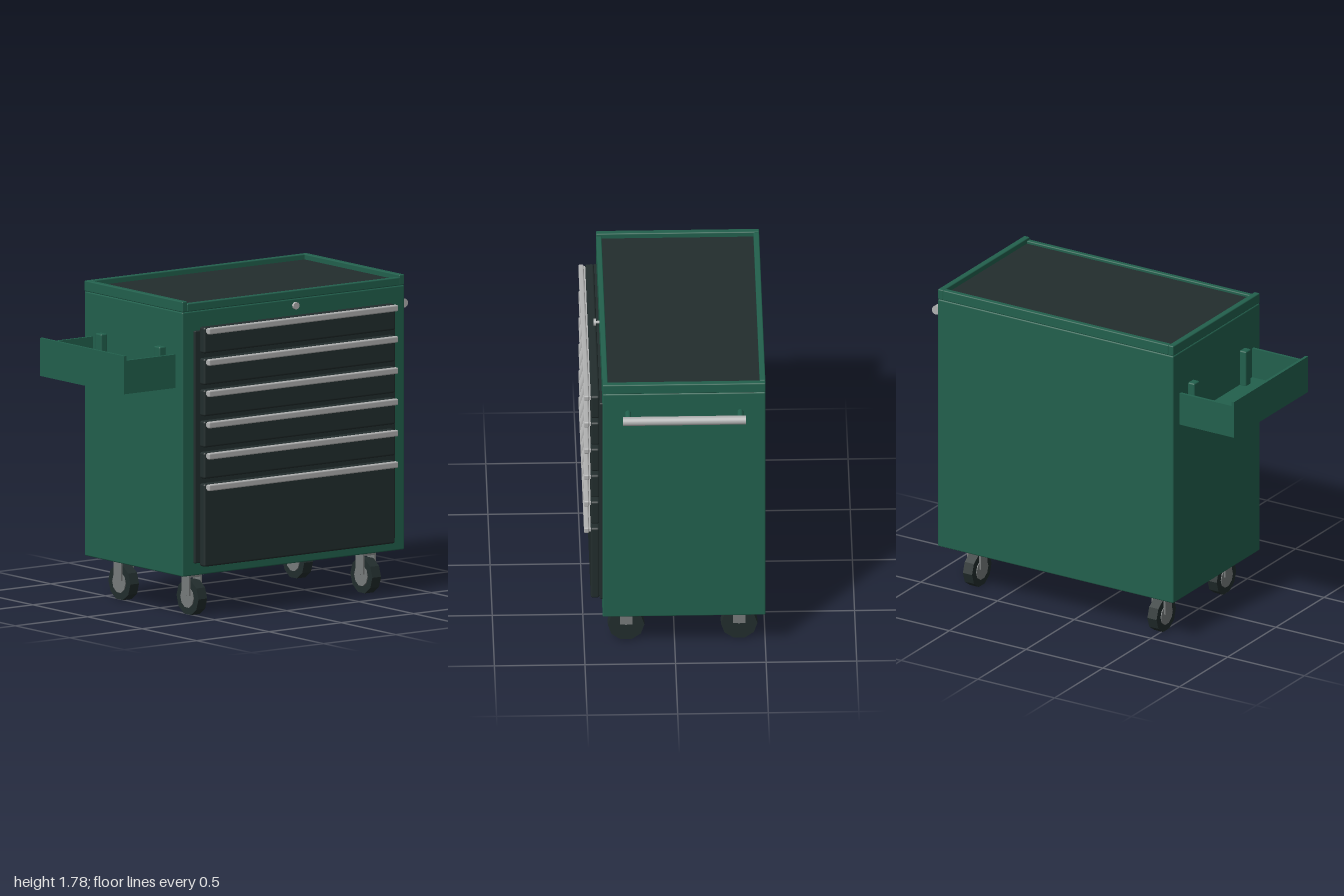
import * as THREE from 'three';
import { RoundedBoxGeometry } from 'three/addons/geometries/RoundedBoxGeometry.js';

const mat = (name, color) => {
  const m = new THREE.MeshStandardMaterial({ color });
  m.name = name;
  return m;
};

export function createModel() {
  const green = mat('cabinet green', 0x22604d);
  const dark = mat('charcoal', 0x222d2d);
  const silver = mat('brushed silver', 0xb0b1b1);
  const steel = mat('caster steel', 0x777b7b);

  const root = new THREE.Group();
  root.name = 'toolCabinet';

  const group = (name, parent = root) => {
    const g = new THREE.Group();
    g.name = name;
    parent.add(g);
    return g;
  };
  const add = (name, geometry, material, parent) => {
    const m = new THREE.Mesh(geometry, material);
    m.name = name;
    parent.add(m);
    return m;
  };
  // Box given by its extents, optionally with rounded edges
  const box = (name, [x0, x1], [y0, y1], [z0, z1], material, parent = root, r = 0) => {
    const size = [x1 - x0, y1 - y0, z1 - z0];
    const g = r ? new RoundedBoxGeometry(...size, 2, r) : new THREE.BoxGeometry(...size);
    g.translate((x0 + x1) / 2, (y0 + y1) / 2, (z0 + z1) / 2);
    return add(name, g, material, parent);
  };
  const cylinder = (name, r, length, axis, at, sides, material, parent = root) => {
    const g = new THREE.CylinderGeometry(r, r, length, sides);
    if (axis === 'x') g.rotateZ(Math.PI / 2);
    if (axis === 'z') g.rotateX(Math.PI / 2);
    g.translate(...at);
    return add(name, g, material, parent);
  };

  // Cabinet body
  box('body', [-0.645, 0.89], [0.24, 1.72], [-0.5, 0.4], green, root, 0.008);

  // Top tray: base, raised rim (front lip slightly lower) and mat
  const top = group('top');
  box('topBase', [-0.64, 0.885], [1.715, 1.735], [-0.495, 0.395], green, top);
  for (const [x0, x1] of [[-0.645, -0.61], [0.855, 0.89]])
    box('sideRim', [x0, x1], [1.72, 1.78], [-0.5, 0.4], green, top, 0.006);
  box('backRim', [-0.612, 0.857], [1.72, 1.78], [-0.5, -0.468], green, top, 0.006);
  box('frontRim', [-0.612, 0.857], [1.72, 1.766], [0.37, 0.4], green, top, 0.006);
  box('topMat', [-0.61, 0.855], [1.73, 1.75], [-0.468, 0.37], dark, top);

  // Drawers on a dark face panel
  const drawers = group('drawers');
  box('facePanel', [-0.57, 0.815], [0.31, 1.61], [0.39, 0.416], dark, drawers, 0.006);
  const spans = [[1.487, 1.633], [1.31, 1.458], [1.135, 1.283], [0.96, 1.108], [0.785, 0.933], [0.293, 0.757]];
  for (const [y0, y1] of spans) {
    box('drawer', [-0.54, 0.78], [y0, y1], [0.414, 0.463], dark, drawers, 0.012);
    box('drawerPull', [-0.535, 0.775], [y1 - 0.036, y1], [0.471, 0.5], silver, drawers, 0.008);
    box('pullFlange', [-0.53, 0.77], [y1 - 0.027, y1 - 0.009], [0.46, 0.475], silver, drawers);
  }

  // Lock
  cylinder('lockStem', 0.008, 0.03, 'z', [0.12, 1.685, 0.41], 12, silver);
  cylinder('lock', 0.02, 0.014, 'z', [0.12, 1.685, 0.425], 20, silver);

  // Push handle on the left side
  const handle = group('pushHandle');
  cylinder('handleBar', 0.025, 0.68, 'z', [0.972, 1.595, -0.05], 20, silver, handle);
  for (const z of [-0.36, 0.26])
    cylinder('handlePost', 0.017, 0.09, 'x', [0.925, 1.595, z], 14, green, handle);

  // Open side tray with two hooks
  const tray = group('sideTray');
  box('trayFloor', [-1, -0.64], [1.29, 1.305], [-0.435, 0.335], green, tray);
  box('trayOuterWall', [-1, -0.983], [1.29, 1.503], [-0.435, 0.335], green, tray);
  for (const z of [-0.435, 0.318])
    box('trayEndWall', [-0.985, -0.64], [1.29, 1.477], [z, z + 0.017], green, tray);
  for (const z of [-0.318, 0.217])
    box('trayHook', [-0.686, -0.642], [1.3, 1.51], [z - 0.028, z + 0.028], green, tray, 0.008);

  // Four casters
  for (const x of [-0.48, 0.722]) for (const z of [0.267, -0.357]) {
    const c = group('caster');
    c.position.set(x, 0, z);
    box('casterPlate', [-0.053, 0.053], [0.225, 0.241], [-0.054, 0.054], steel, c);
    box('forkTop', [-0.046, 0.046], [0.21, 0.228], [-0.034, 0.034], steel, c);
    for (const s of [-1, 1])
      box('forkArm', [s * 0.04 - 0.006, s * 0.04 + 0.006], [0.108, 0.228], [-0.034, 0.034], steel, c);
    const wheel = cylinder('wheel', 0.101, 0.06, 'x', [0, 0.0965, 0], 10, dark, c);
    wheel.geometry = wheel.geometry.toNonIndexed();
    wheel.geometry.computeVertexNormals();
    cylinder('wheelHub', 0.06, 0.008, 'x', [-0.031, 0.0965, 0], 10, steel, c);
    cylinder('axle', 0.012, 0.088, 'x', [0, 0.115, 0], 10, steel, c);
  }
  return root;
}
